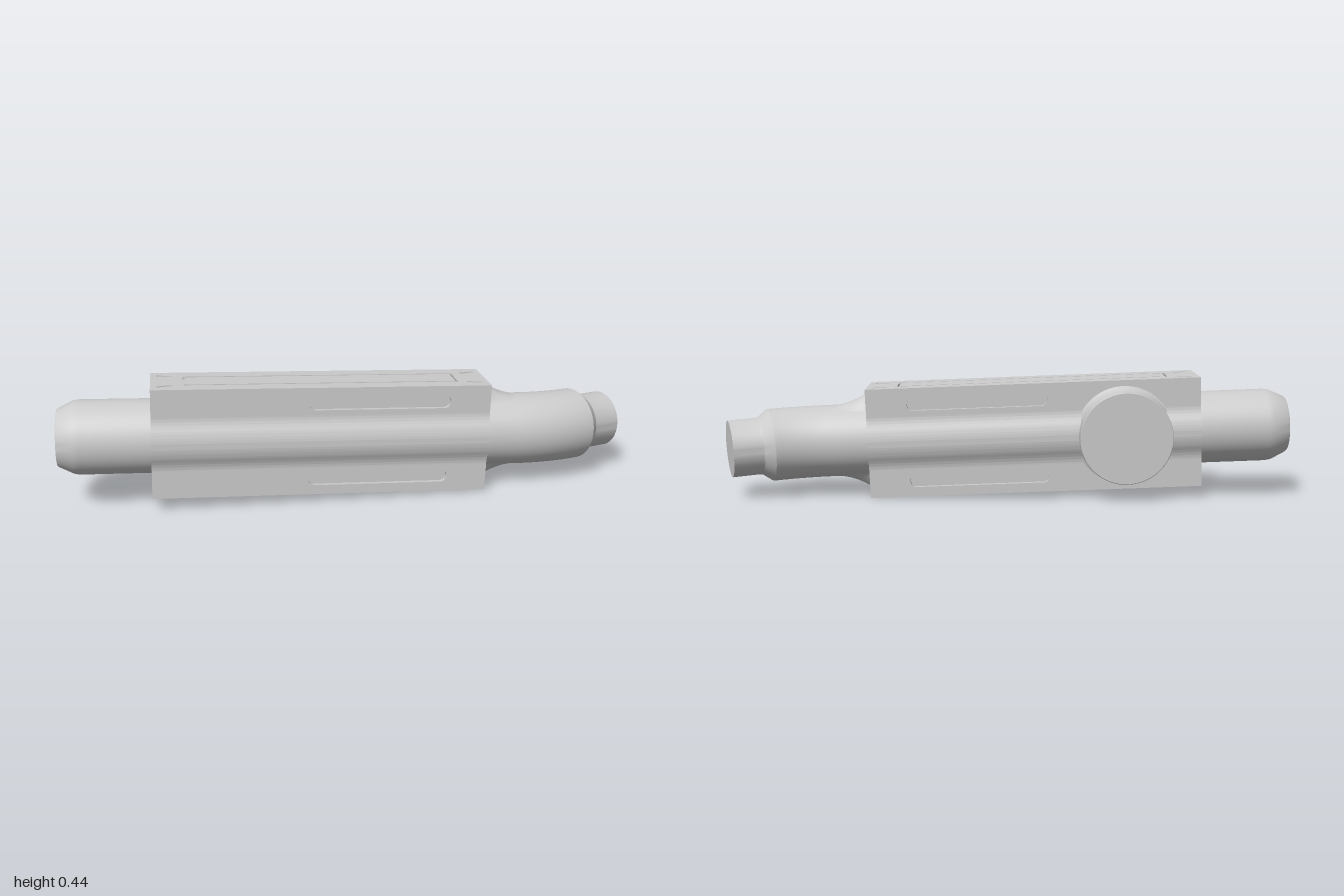
import * as THREE from 'three';
import { toCreasedNormals } from 'three/addons/utils/BufferGeometryUtils.js';

const L = 1.165, H = 0.385, W = 0.21; // housing size
const CAP = 0.01, SKIN = 0.015;       // groove depth, side slot depth
const R = 0.128;                      // pipe radius

const material = new THREE.MeshStandardMaterial({ color: 0xcccccc });

function addMesh(parent, name, geometry, crease = 0.5) {
  const mesh = new THREE.Mesh(toCreasedNormals(geometry, crease), material);
  mesh.name = name;
  parent.add(mesh);
  return mesh;
}

// Rectangle with optional rounded corners, turned about its own centre
function roundRect(PathType, cx, cy, w, h, r = 0, angle = 0) {
  const pts = [];
  const steps = r > 0 ? 8 : 0;
  for (let q = 0; q < 4; q++) {
    const sx = q === 0 || q === 3 ? 1 : -1, sy = q < 2 ? 1 : -1;
    for (let i = 0; i <= steps; i++) {
      const a = (q + (steps ? i / steps : 0)) * Math.PI / 2;
      pts.push(new THREE.Vector2(sx * (w / 2 - r) + r * Math.cos(a), sy * (h / 2 - r) + r * Math.sin(a))
        .rotateAround(new THREE.Vector2(), angle).add(new THREE.Vector2(cx, cy)));
    }
  }
  return new PathType(pts);
}

const extrude = (shape, depth) =>
  new THREE.ExtrudeGeometry(shape, { depth, bevelEnabled: false, curveSegments: 24 });

// Surface from rows of points
function gridGeometry(rows) {
  const n = rows[0].length, pos = [], index = [];
  rows.forEach((row) => row.forEach((p) => pos.push(p.x, p.y, p.z)));
  for (let i = 0; i < rows.length - 1; i++) {
    for (let j = 0; j < n - 1; j++) {
      const a = i * n + j, b = a + n;
      index.push(a, a + 1, b, b, a + 1, b + 1);
    }
  }
  const g = new THREE.BufferGeometry();
  g.setAttribute('position', new THREE.Float32BufferAttribute(pos, 3));
  g.setIndex(index);
  return g;
}

// Round pipe: chamfered left end, straight run, bend toward -z, stepped spout
function pipeGeometry() {
  const stations = []; // x, z, heading, radius
  const straight = [[-0.895, 0], [-0.895, 0.097], [-0.89, 0.101], [-0.84, 0.125], [-0.82, R], [0, R]];
  straight.forEach(([x, r]) => stations.push([x, 0, 0, r]));
  const bendR = 0.65, bend = 0.365, x0 = 0.705;
  for (let i = 0; i <= 12; i++) {
    const a = bend * i / 12;
    stations.push([x0 + bendR * Math.sin(a), -bendR * (1 - Math.cos(a)), a, R]);
  }
  const [ex, ez] = stations[stations.length - 1];
  [[0.035, 0.102], [0.045, 0.1], [0.14, 0.1], [0.14, 0]].forEach(([d, r]) =>
    stations.push([ex + d * Math.cos(bend), ez - d * Math.sin(bend), bend, r]));
  return gridGeometry(stations.map(([x, z, a, r]) => {
    const ring = [];
    for (let j = 0; j <= 64; j++) {
      const t = j / 64 * Math.PI * 2, s = r * Math.sin(t);
      ring.push(new THREE.Vector3(x + s * Math.sin(a), r * Math.cos(t), z + s * Math.cos(a)));
    }
    return ring;
  }));
}

// Flared rib blending the housing end into the pipe
function gussetGeometry() {
  const rows = [];
  for (let i = 0; i <= 12; i++) {
    const u = i / 12, row = [];
    for (let j = 0; j <= 40; j++) {
      const z = 0.09 * (j / 20 - 1);
      const fall = 1 - THREE.MathUtils.smoothstep(Math.abs(z), 0.025, 0.07);
      const y = Math.sqrt(R * R - z * z) - 0.002 + 0.047 * (1 - u) ** 2 * fall;
      row.push(new THREE.Vector3(L / 2 - 0.002 + 0.142 * u, y, z));
    }
    rows.push(row);
  }
  return gridGeometry(rows);
}

// Housing core: slab whose sides swell around the pipe
function coreGeometry() {
  const top = H / 2 - CAP, inner = W / 2 - SKIN, a = Math.atan2(0.055, 0.1161);
  const s = new THREE.Shape();
  s.moveTo(-inner, -top);
  s.lineTo(inner, -top);
  s.lineTo(inner, -0.095);
  s.lineTo(W / 2, -0.095);
  s.quadraticCurveTo(W / 2, -0.077, 0.1161, -0.055);
  s.absarc(0, 0, 0.1285, -a, a, false);
  s.quadraticCurveTo(W / 2, 0.077, W / 2, 0.095);
  s.lineTo(inner, 0.095);
  s.lineTo(inner, top);
  s.lineTo(-inner, top);
  s.lineTo(-inner, 0.095);
  s.lineTo(-W / 2, 0.095);
  s.quadraticCurveTo(-W / 2, 0.077, -0.1161, 0.055);
  s.absarc(0, 0, 0.1285, Math.PI - a, Math.PI + a, false);
  s.quadraticCurveTo(-W / 2, -0.077, -W / 2, -0.095);
  s.lineTo(-inner, -0.095);
  return extrude(s, L).translate(0, 0, -L / 2).rotateY(Math.PI / 2);
}

// Cover with a grooved panel outline and four slanted corner slots
function buildCover() {
  const cover = new THREE.Group();
  const plate = roundRect(THREE.Shape, 0, 0, L, W);
  plate.holes.push(roundRect(THREE.Path, 0, 0, 0.95, 0.104));
  for (const sx of [-1, 1]) for (const sy of [-1, 1]) {
    plate.holes.push(roundRect(THREE.Path, sx * 0.535, sy * 0.06, 0.054, 0.012, 0.0055, sx * sy * 0.26));
  }
  const place = (g) => g.rotateX(-Math.PI / 2).translate(0, H / 2 - CAP, 0);
  addMesh(cover, 'coverPlate', place(extrude(plate, CAP)));
  addMesh(cover, 'coverPanel', place(extrude(roundRect(THREE.Shape, 0, 0, 0.934, 0.088), CAP)));
  return cover;
}

export function createModel() {
  const model = new THREE.Group();
  model.name = 'pipeHousing';
  const body = new THREE.Group();
  body.name = 'body';
  body.position.set(-0.105, 0.218, 0.0325);
  body.rotation.set(-0.033, 0, -0.0378);
  model.add(body);

  addMesh(body, 'pipe', pipeGeometry(), 0.35);
  addMesh(body, 'housingCore', coreGeometry());

  // Top and bottom covers and end ribs
  for (const [side, angle] of [['top', 0], ['bottom', Math.PI]]) {
    const cover = buildCover();
    cover.name = side + 'Cover';
    cover.rotation.x = angle;
    body.add(cover);
    addMesh(body, side + 'Gusset', gussetGeometry(), 1).rotation.x = angle;
  }

  // Slotted side strips, above and below the pipe on both faces
  const y0 = 0.095, y1 = H / 2 - CAP;
  for (const sy of [-1, 1]) {
    const strip = roundRect(THREE.Shape, 0, sy * (y0 + y1) / 2, L, y1 - y0);
    strip.holes.push(roundRect(THREE.Path, 0.195, sy * 0.136, 0.49, 0.046, 0.021));
    for (const sz of [-1, 1]) {
      const g = extrude(strip, SKIN).translate(0, 0, sz > 0 ? W / 2 - SKIN : -W / 2);
      addMesh(body, (sz > 0 ? 'front' : 'back') + (sy > 0 ? 'Upper' : 'Lower') + 'Strip', g);
    }
  }

  // Round port on the back with a small foot fillet
  const profile = [[0.172, 0.09], [0.172, 0.105], [0.164, 0.109], [0.16, 0.118], [0.16, 0.188], [0.158, 0.19], [0, 0.19]]
    .map(([r, h]) => new THREE.Vector2(r, h));
  const port = new THREE.LatheGeometry(profile, 64).rotateX(-Math.PI / 2).translate(-0.315, 0, 0);
  addMesh(body, 'backPort', port);

  return model;
}
